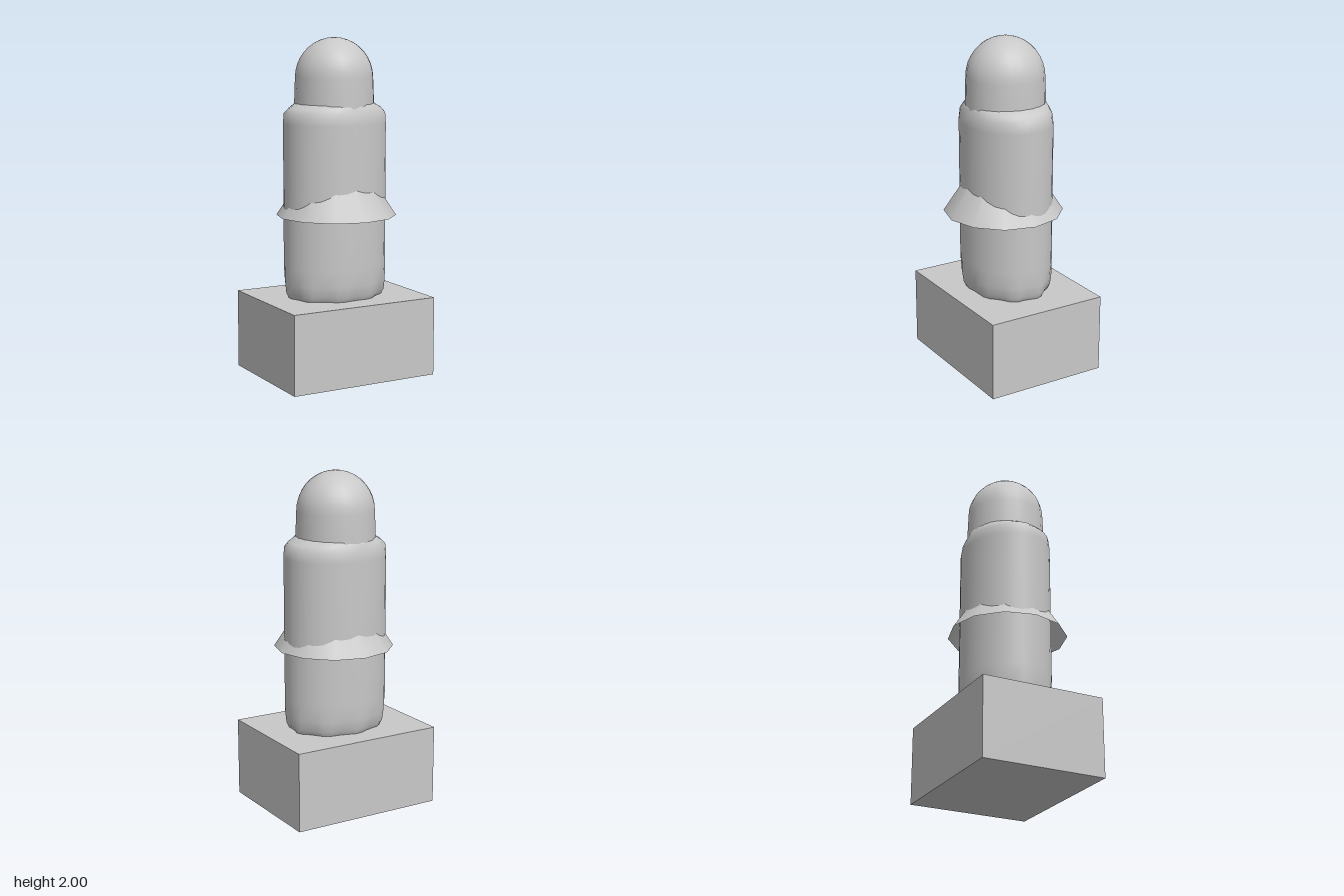
import * as THREE from 'three';

// Closed-round loft through elliptical rings [y, rx, rz, ripple]; capped at both ends
function loft(rings, sides) {
  const pos = [], idx = [];
  for (const [y, rx, rz, ripple = 0] of rings) {
    for (let i = 0; i < sides; i++) {
      const a = (i / sides) * Math.PI * 2;
      const k = 1 - ripple * (0.5 + 0.5 * Math.sin(a * 9 + 1));
      pos.push(Math.sin(a) * rx * k, y, Math.cos(a) * rz * k);
    }
  }
  for (let r = 0; r < rings.length - 1; r++) {
    for (let i = 0; i < sides; i++) {
      const j = (i + 1) % sides;
      const a = r * sides + i, b = r * sides + j, c = a + sides, d = b + sides;
      idx.push(a, b, d, a, d, c);
    }
  }
  const g = new THREE.BufferGeometry();
  g.setAttribute('position', new THREE.Float32BufferAttribute(pos, 3));
  g.setIndex(idx);
  g.computeVertexNormals();
  return g;
}

export function createModel() {
  const group = new THREE.Group();
  const stone = new THREE.MeshStandardMaterial({ color: 0xc8c8c8 });
  stone.name = 'pale grey';
  const stoneOpen = stone;
  stoneOpen.side = THREE.DoubleSide;

  const add = (name, geometry) => {
    const mesh = new THREE.Mesh(geometry, stone);
    mesh.name = name;
    group.add(mesh);
    return mesh;
  };

  // Block plinth
  add('plinth', new THREE.BoxGeometry(0.934, 0.47, 0.747)).position.y = 0.235;

  // Oval trunk, worn at the foot and sloping in at the shoulders
  add('body', loft([
    [0.47, 0.295, 0.235, 0.07],
    [0.5, 0.31, 0.25, 0.05],
    [0.56, 0.315, 0.258, 0.025],
    [0.66, 0.315, 0.26],
    [1.5, 0.315, 0.26],
    [1.56, 0.313, 0.25],
    [1.59, 0.285, 0.24, 0.02],
    [1.615, 0.24, 0.23],
    [1.63, 0.2, 0.2],
  ], 36));

  // Domed head on a short straight neck
  const profile = [new THREE.Vector2(0.236, 1.57), new THREE.Vector2(0.234, 1.66)];
  for (let i = 0; i <= 9; i++) {
    const a = (i / 9) * Math.PI / 2;
    profile.push(new THREE.Vector2(Math.cos(a) * 0.23, 1.765 + Math.sin(a) * 0.235));
  }
  add('head', new THREE.LatheGeometry(profile, 22)).position.x = -0.004;

  // Flared twelve-sided skirt, open underneath
  const skirt = add('skirt', new THREE.ConeGeometry(0.355, 0.54, 12, 1, true));
  skirt.position.set(0, 0.955 + 0.27, 0.017);

  return group;
}
